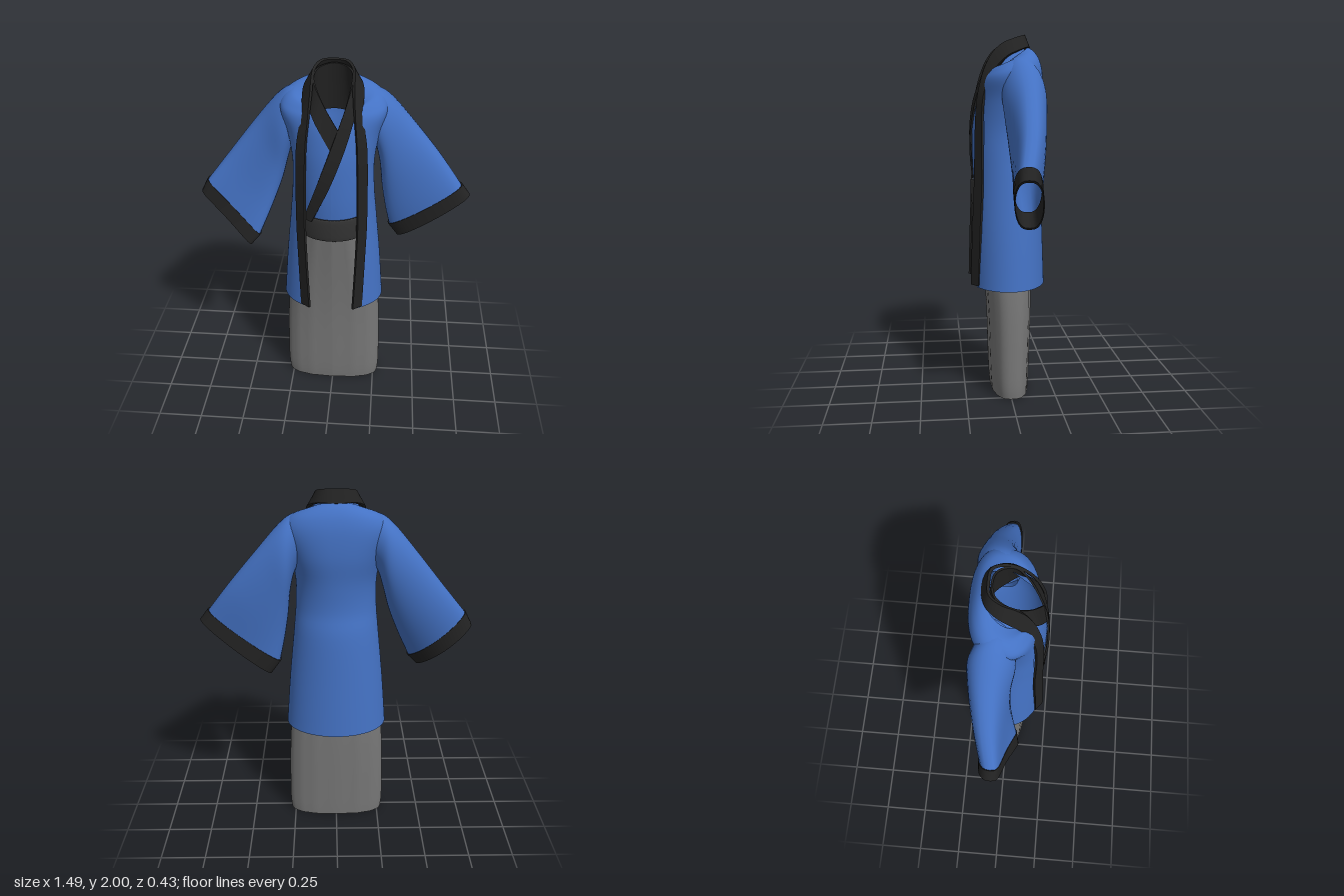
import * as THREE from 'three';
import { toCreasedNormals } from 'three/addons/utils/BufferGeometryUtils.js';

const cloth = (color) => new THREE.MeshStandardMaterial({ color, side: THREE.DoubleSide });
const BLUE = cloth(0x4472c4), BLACK = cloth(0x222222), GREY = cloth(0x777777), BELT = cloth(0x333333);
const V = (x, y, z) => new THREE.Vector3(x, y, z);
const power = (v, p) => Math.sign(v) * Math.abs(v) ** p;

// Smoothly resample a table of number rows
function smoothRows(rows, per) {
  const out = [], n = rows.length;
  for (let i = 0; i < (n - 1) * per + 1; i++) {
    const k = Math.min(Math.floor(i / per), n - 2), t = i / per - k;
    const r = (j) => rows[Math.max(0, Math.min(n - 1, j))];
    out.push(r(k).map((p1, c) => {
      const p0 = r(k - 1)[c], p2 = r(k + 1)[c], p3 = r(k + 2)[c];
      const m1 = (p2 - p0) / 2, m2 = (p3 - p1) / 2;
      return p1 + t * (m1 + t * (3 * (p2 - p1) - 2 * m1 - m2 + t * (2 * (p1 - p2) + m1 + m2)));
    }));
  }
  return out;
}

// Skin a list of equal-length rings of points
function loft(rings, closed) {
  const n = rings[0].length, pos = [], idx = [];
  rings.forEach((r) => r.forEach((p) => pos.push(p.x, p.y, p.z)));
  for (let i = 0; i < rings.length - 1; i++) {
    for (let j = 0; j < (closed ? n : n - 1); j++) {
      const a = i * n + j, b = i * n + (j + 1) % n;
      idx.push(a, b, b + n, a, b + n, a + n);
    }
  }
  const g = new THREE.BufferGeometry();
  g.setAttribute('position', new THREE.Float32BufferAttribute(pos, 3));
  g.setIndex(idx);
  g.computeVertexNormals();
  return g;
}

// Body ring: row = [y, front drop, half width, front z, back z, half opening, squareness]
function bodyRing([y, drop, w, zf, zb, open, square], fold) {
  const pts = [], N = 64, c = (zf + zb) / 2, r = (zf - zb) / 2;
  const a0 = Math.asin(Math.min(1, Math.max(0, open) / w) ** (1 / square));
  for (let j = 0; j <= N; j++) {
    const a = a0 + (j / N) * (2 * Math.PI - 2 * a0), k = 1 + fold * Math.cos(16 * a);
    const z = c + r * power(Math.cos(a), square) * k;
    pts.push(V(w * power(Math.sin(a), square), y - drop * (z - zb) / (zf - zb), z));
  }
  return pts;
}
const body = (rows, fold = 0) => loft(smoothRows(rows, 5).map((r) => bodyRing(r, fold)), false);

// Flat band with thickness: row = inner edge xyz, outer edge xyz
function band(rows, thick) {
  const s = smoothRows(rows, 5).map((r) => [V(r[0], r[1], r[2]), V(r[3], r[4], r[5])]);
  const rings = s.map(([u, l], i) => {
    const p = s[Math.max(0, i - 1)], q = s[Math.min(s.length - 1, i + 1)];
    const tan = q[0].clone().add(q[1]).sub(p[0]).sub(p[1]);
    const n = tan.cross(u.clone().sub(l)).normalize().multiplyScalar(thick / 2);
    return [u.clone().add(n), l.clone().add(n), l.clone().sub(n), u.clone().sub(n)];
  });
  const cap = (r) => r.map(() => r[0].clone().add(r[2]).multiplyScalar(0.5));
  return toCreasedNormals(loft([cap(rings[0]), ...rings, cap(rings.at(-1))], true), 0.7);
}
const mirrorRow = (r) => [-r[0], r[1], r[2], -r[3], r[4], r[5]];

// Sleeve ring: row = top xyz, bottom xyz, half thickness, squareness, bend of the middle in z
function sleeveRing([tx, ty, tz, bx, by, bz, h, square, bend], side, k = 1) {
  const top = V(tx * side, ty, tz), bot = V(bx * side, by, bz), pts = [];
  const c = top.clone().add(bot).multiplyScalar(0.5), half = top.sub(c);
  for (let j = 0; j < 32; j++) {
    const a = (j / 32) * Math.PI * 2, s = Math.sin(a);
    pts.push(c.clone().addScaledVector(half, k * Math.cos(a))
      .add(V(0, 0, side * h * k * power(s, square) + bend * s * s)));
  }
  return pts;
}

export function createModel() {
  const model = new THREE.Group();
  const add = (name, geo, mat) => {
    const m = new THREE.Mesh(geo, mat);
    m.name = name;
    model.add(m);
  };

  // Long skirt, open at the bottom
  add('skirt', body([
    [0.005, 0, 0.275, 0.1, -0.11, 0, 0.8], [0.12, 0, 0.282, 0.108, -0.115, 0, 0.8],
    [0.5, 0, 0.272, 0.12, -0.127, 0, 0.8], [0.8, 0, 0.245, 0.145, -0.13, 0, 0.8],
    [1.12, 0, 0.195, 0.185, -0.14, 0, 0.85],
  ], 0.015), GREY);

  // Waist belt
  add('belt', body([
    [1.08, 0, 0.19, 0.19, -0.14, 0, 1], [1.085, 0, 0.2, 0.203, -0.15, 0, 1],
    [1.2, 0, 0.2, 0.207, -0.15, 0, 1], [1.205, 0, 0.185, 0.19, -0.13, 0, 1],
  ]), BELT);

  // Inner robe, opening to a V at the neck
  add('innerRobe', body([
    [1.12, 0, 0.185, 0.18, -0.14, 0, 1], [1.3, 0, 0.19, 0.195, -0.13, 0, 1],
    [1.5, 0, 0.195, 0.195, -0.13, 0, 1], [1.62, 0, 0.2, 0.183, -0.14, 0.01, 1],
    [1.72, 0, 0.2, 0.162, -0.15, 0.045, 1], [1.82, 0.03, 0.18, 0.13, -0.14, 0.08, 1],
    [1.89, 0.05, 0.135, 0.09, -0.11, 0.095, 1], [1.95, 0.05, 0.105, 0.05, -0.085, 0.1, 1],
  ]), BLUE);
  const lining = new THREE.CircleGeometry(1, 40).rotateX(-Math.PI / 2);
  add('innerLining', lining.scale(0.185, 1, 0.155).translate(0, 1.25, 0.03), BLUE);

  // Inner collar: deep back of the neck, under band and crossing over band
  const neck = [
    [0, 1.985, -0.075, 0, 1.73, -0.1], [0.06, 1.975, -0.06, 0.075, 1.73, -0.08],
    [0.095, 1.96, -0.01, 0.12, 1.77, -0.01], [0.098, 1.93, 0.05, 0.13, 1.82, 0.055],
  ];
  const under = [[0.045, 1.83, 0.115, 0.085, 1.74, 0.145], [-0.035, 1.71, 0.165, 0.0, 1.6, 0.185]];
  const over = [
    [0.066, 1.81, 0.125, 0.115, 1.77, 0.13], [0.005, 1.64, 0.188, 0.068, 1.61, 0.184],
    [-0.07, 1.43, 0.203, -0.01, 1.4, 0.206], [-0.15, 1.2, 0.165, -0.105, 1.19, 0.186],
  ];
  add('innerCollar', band([...under.slice().reverse().map(mirrorRow),
    ...neck.slice(1).reverse().map(mirrorRow), ...neck, ...over], 0.01), BLACK);

  // Outer coat, open down the front, broad and squarer at the shoulders
  add('coat', body([
    [0.62, 0, 0.287, 0.215, -0.21, 0.15, 1], [0.9, 0, 0.265, 0.21, -0.2, 0.155, 1],
    [1.2, 0, 0.235, 0.205, -0.188, 0.165, 1], [1.35, 0, 0.222, 0.205, -0.165, 0.165, 1],
    [1.5, 0, 0.22, 0.2, -0.17, 0.165, 0.97], [1.65, 0, 0.245, 0.174, -0.19, 0.16, 0.86],
    [1.78, 0.03, 0.28, 0.148, -0.19, 0.155, 0.8], [1.86, 0.07, 0.265, 0.125, -0.175, 0.15, 0.82],
    [1.91, 0.1, 0.215, 0.11, -0.148, 0.147, 0.9], [1.937, 0.16, 0.155, 0.11, -0.115, 0.142, 1],
  ]), BLUE);

  // Coat trim: round the neck and down both front edges
  const trim = [
    [0, 2.0, -0.09, 0, 1.93, -0.12], [0.065, 1.995, -0.08, 0.085, 1.93, -0.1],
    [0.098, 1.975, -0.025, 0.13, 1.91, -0.05], [0.105, 1.945, 0.04, 0.15, 1.88, 0.01],
    [0.107, 1.88, 0.1, 0.153, 1.82, 0.07], [0.117, 1.76, 0.148, 0.163, 1.72, 0.125],
    [0.132, 1.58, 0.178, 0.182, 1.57, 0.148], [0.14, 1.2, 0.19, 0.188, 1.2, 0.15],
    [0.135, 0.95, 0.2, 0.182, 0.95, 0.16], [0.122, 0.63, 0.21, 0.172, 0.63, 0.17],
  ];
  add('coatTrim', band([...trim.slice(1).reverse().map(mirrorRow), ...trim], 0.014), BLACK);

  // Wide sleeves, the right one with its lower corner swung forward
  const shoulder = [
    [0.12, 1.87, -0.05, 0.16, 1.62, -0.03, 0.07, 1, 0], [0.22, 1.868, -0.055, 0.215, 1.57, -0.045, 0.1, 0.95, 0],
  ];
  const sleeves = {
    left: [1, [
      ...shoulder, [0.3, 1.815, -0.07, 0.245, 1.46, -0.065, 0.114, 0.92, 0],
      [0.42, 1.68, -0.08, 0.262, 1.31, -0.065, 0.1, 0.85, 0],
      [0.57, 1.5, -0.068, 0.285, 1.17, -0.07, 0.085, 0.75, 0],
      [0.695, 1.335, -0.035, 0.31, 1.055, -0.08, 0.074, 0.7, 0],
      [0.74, 1.275, -0.032, 0.365, 0.98, -0.085, 0.074, 0.7, 0],
    ]],
    right: [-1, [
      ...shoulder, [0.3, 1.815, -0.07, 0.25, 1.47, -0.055, 0.116, 0.92, 0],
      [0.42, 1.675, -0.08, 0.285, 1.34, -0.035, 0.1, 0.85, -0.01],
      [0.57, 1.485, -0.065, 0.345, 1.18, 0.005, 0.082, 0.75, -0.025],
      [0.705, 1.315, -0.037, 0.412, 1.025, 0.05, 0.067, 0.7, -0.038],
      [0.743, 1.24, -0.035, 0.465, 0.965, 0.065, 0.067, 0.7, -0.042],
    ]],
  };
  for (const [name, [side, rows]] of Object.entries(sleeves)) {
    add(name + 'Sleeve', loft(smoothRows(rows.slice(0, 6), 5).map((r) => sleeveRing(r, side)), true), BLUE);
    // Cuff with a folded inner face
    const [a, b] = rows.slice(-2);
    const cuff = [[a, 0.97], [a, 1.03], [b, 1.03], [b, 0.95], [a, 0.93]];
    add(name + 'Cuff', toCreasedNormals(loft(cuff.map(([r, k]) => sleeveRing(r, side, k)), true), 0.9), BLACK);
  }
  return model;
}
